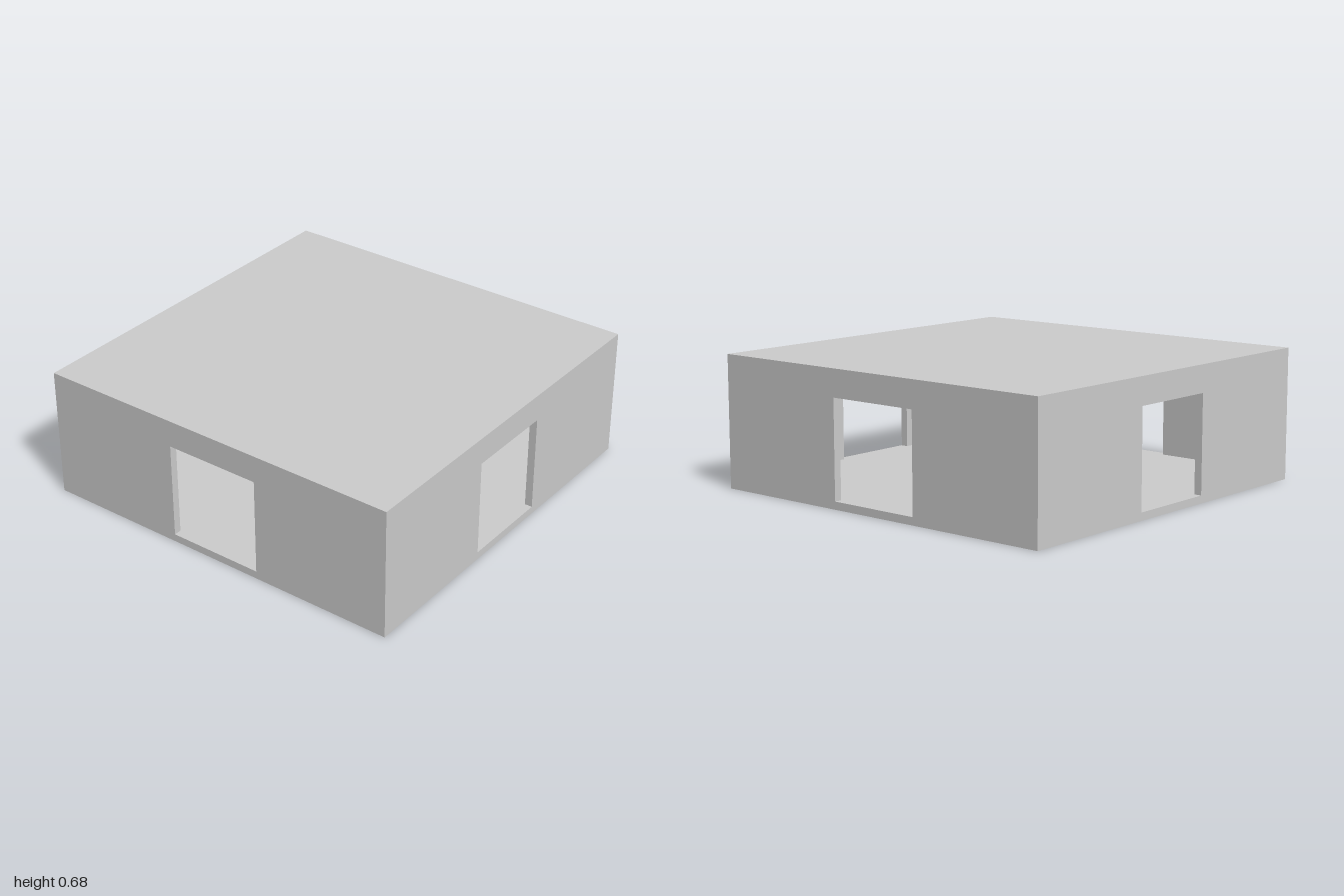
import * as THREE from 'three';

const SIZE = 2, HEIGHT = 0.683, T = 0.04;   // footprint, total height, slab and wall thickness
const SILL = T, LINTEL = 0.543, CEILING = HEIGHT - T;
const material = new THREE.MeshStandardMaterial({ color: 0xcccccc, flatShading: true });

// Horizontal slab whose underside sits at y
function slab(name, y) {
  const mesh = new THREE.Mesh(new THREE.BoxGeometry(SIZE, T, SIZE), material);
  mesh.name = name;
  mesh.position.y = y + T / 2;
  return mesh;
}

// Wall with a doorway reaching down to the floor; outer face at distance 1 in direction angle
function wall(name, width, doorWidth, angle) {
  const w = width / 2, d = doorWidth / 2;
  const shape = new THREE.Shape([
    [-w, SILL], [-d, SILL], [-d, LINTEL], [d, LINTEL],
    [d, SILL], [w, SILL], [w, CEILING], [-w, CEILING],
  ].map(([x, y]) => new THREE.Vector2(x, y)));
  const geometry = new THREE.ExtrudeGeometry(shape, { depth: T, bevelEnabled: false });
  geometry.translate(0, 0, SIZE / 2 - T);
  geometry.rotateY(angle);
  const mesh = new THREE.Mesh(geometry, material);
  mesh.name = name;
  return mesh;
}

export function createModel() {
  const room = new THREE.Group();
  room.name = 'room';
  room.add(slab('floor', 0), slab('roof', CEILING));

  // Front and back walls span the full width, side walls fit between them
  const inner = SIZE - 2 * T;
  room.add(
    wall('frontWall', SIZE, 0.486, 0),
    wall('backWall', SIZE, 0.486, Math.PI),
    wall('leftWall', inner, 0.508, Math.PI / 2),
    wall('rightWall', inner, 0.508, -Math.PI / 2),
  );
  return room;
}
